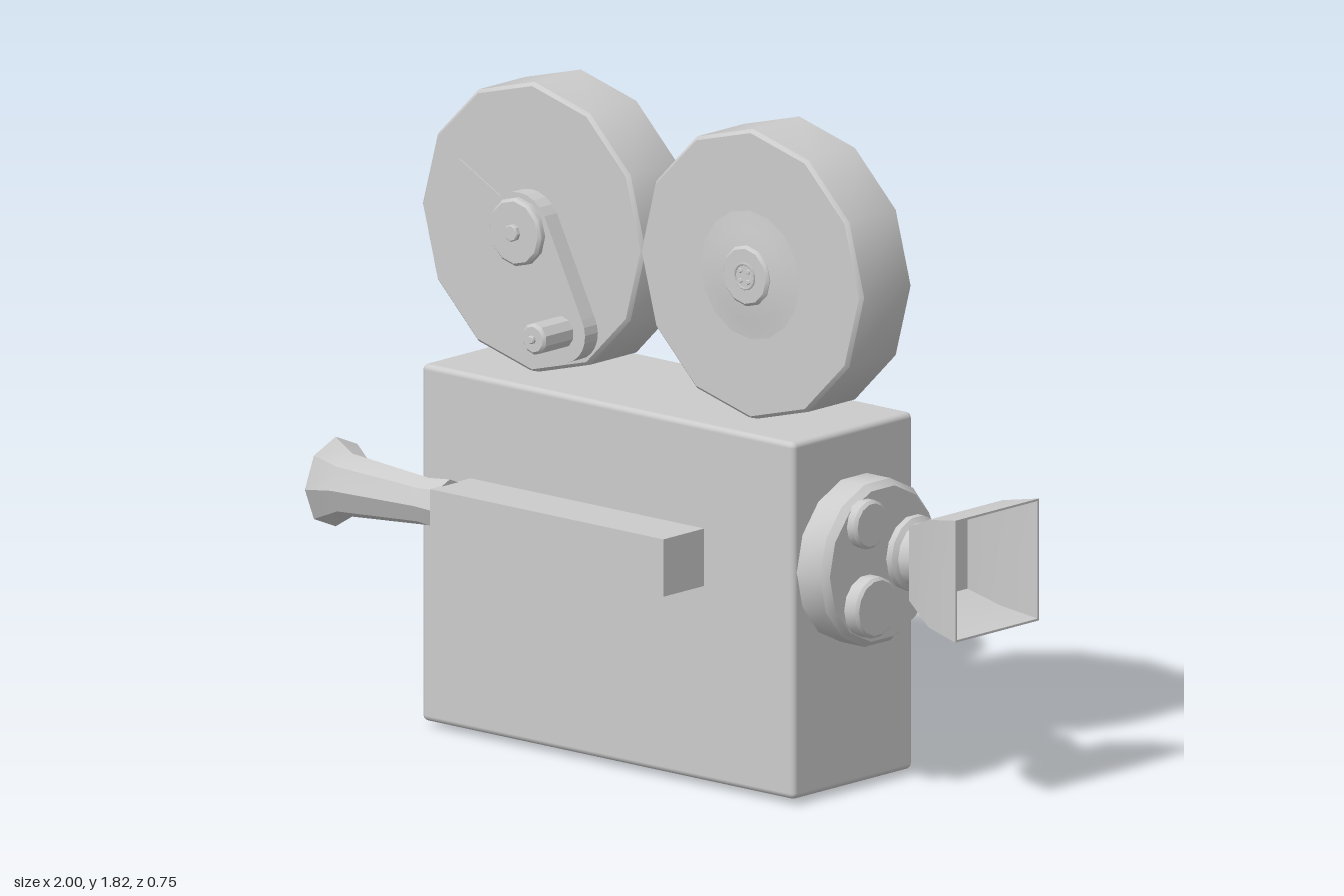
import * as THREE from 'three';
import { toCreasedNormals } from 'three/addons/utils/BufferGeometryUtils.js';
import { RoundedBoxGeometry } from 'three/addons/geometries/RoundedBoxGeometry.js';

const material = new THREE.MeshStandardMaterial({ color: 0xcccccc, side: THREE.DoubleSide });

export function createModel() {
  const model = new THREE.Group();

  const add = (name, geometry, x = 0, y = 0, z = 0, parent = model) => {
    const mesh = new THREE.Mesh(geometry, material);
    mesh.name = name;
    mesh.position.set(x, y, z);
    parent.add(mesh);
    return mesh;
  };
  // Turned profile of [radius, height] pairs, laid along the chosen axis
  const turned = (axis, sides, profile, phase = 0) => {
    const g = new THREE.LatheGeometry(profile.map(([r, h]) => new THREE.Vector2(r, h)), sides, phase);
    if (axis === 'x') g.rotateZ(-Math.PI / 2);
    if (axis === 'z') g.rotateX(Math.PI / 2);
    return toCreasedNormals(g, 0.6);
  };
  // Solid disc with a bevelled far rim
  const disc = (axis, sides, r, from, to, bevel = 0.008) =>
    turned(axis, sides, [[0, from], [r, from], [r, to - bevel], [r - bevel, to], [0, to]]);

  // Body
  add('body', new RoundedBoxGeometry(1.355, 0.995, 0.485, 2, 0.016), -0.0925, 0.5125, -0.0875);
  add('tripodMount', turned('y', 12, [[0, 0], [0.11, 0], [0.125, 0.02], [0, 0.02]]), -0.025, 0, -0.088);

  // Back door, leaning out towards its lower edge
  const door = new THREE.BoxGeometry(1.24, 0.9, 0.03);
  door.rotateX(0.042);
  add('backDoor', door, -0.09, 0.51, -0.337);

  // Rear window frame
  const frame = new THREE.Shape([[-0.2, -0.148], [0.2, -0.148], [0.2, 0.148], [-0.2, 0.148]]
    .map(p => new THREE.Vector2(...p)));
  frame.holes.push(new THREE.Path([[-0.182, -0.13], [-0.182, 0.13], [0.182, 0.13], [0.182, -0.13]]
    .map(p => new THREE.Vector2(...p))));
  const frameGeometry = new THREE.ExtrudeGeometry(frame, { depth: 0.02, bevelEnabled: false });
  frameGeometry.rotateY(-Math.PI / 2);
  add('rearWindowFrame', frameGeometry, -0.765, 0.712, -0.09);

  // Film reels
  const reel = [[0, -0.19], [0.395, -0.19], [0.405, -0.18], [0.405, 0.008], [0.395, 0.018], [0, 0.02]];
  for (const [name, x] of [['rearReel', -0.49], ['frontReel', 0.305]]) {
    add(name, turned('z', 12, reel), x, 1.41, 0);
  }

  // Front reel hub with small holes round its centre
  const hub = new THREE.Group();
  hub.name = 'frontReelHub';
  hub.position.set(0.305, 1.41, 0);
  model.add(hub);
  add('hubDish', turned('z', 16, [[0.19, 0.018], [0.13, 0.024], [0.085, 0.032], [0, 0.032]]), 0, 0, 0, hub);
  add('hubCap', disc('z', 12, 0.085, 0.02, 0.042), 0, 0, 0, hub);
  add('hubRing', new THREE.TorusGeometry(0.035, 0.004, 4, 16), 0, 0, 0.042, hub);
  for (let i = 0; i < 4; i++) {
    const a = (i + 0.5) * Math.PI / 2;
    add('hubPin', disc('z', 8, 0.007, 0.04, 0.046, 0.002), 0.02 * Math.cos(a), 0.02 * Math.sin(a), 0, hub);
  }

  // Crank on the rear reel
  const crank = new THREE.Group();
  crank.name = 'crank';
  crank.position.set(-0.49, 1.41, 0);
  model.add(crank);
  const end = new THREE.Vector2(0.155, -0.255);
  const a = end.angle();
  const arm = new THREE.Shape();
  arm.absarc(0, 0, 0.108, a + Math.PI / 2, a + Math.PI * 1.5, false);
  arm.absarc(end.x, end.y, 0.085, a - Math.PI / 2, a + Math.PI / 2, false);
  add('crankArm', new THREE.ExtrudeGeometry(arm, { depth: 0.052, bevelEnabled: false, curveSegments: 6 }),
    0, 0, 0.018, crank);
  add('crankHub', disc('z', 12, 0.095, 0.06, 0.092), 0, 0, 0, crank);
  add('crankBolt', disc('z', 8, 0.024, 0.09, 0.106, 0.003), 0, 0, 0, crank);
  add('crankHandle', disc('z', 10, 0.044, 0.06, 0.188), end.x, end.y, 0, crank);
  add('handleTip', disc('z', 8, 0.012, 0.18, 0.198, 0.003), end.x, end.y, 0, crank);
  const pointer = new THREE.Shape([[-0.26, 0.15], [-0.11, 0.01], [-0.09, 0.06]].map(p => new THREE.Vector2(...p)));
  add('crankPointer', new THREE.ExtrudeGeometry(pointer, { depth: 0.006, bevelEnabled: false }), 0, 0, 0.017, crank);

  // Viewfinder and its hollow eyepiece
  add('viewfinder', new THREE.BoxGeometry(0.85, 0.16, 0.17), -0.165, 0.64, 0.235);
  add('eyepiece', turned('x', 8, [
    [0, -0.955], [0.07, -0.955], [0.115, -0.998], [0.125, -1], [0.088, -0.94], [0.066, -0.66], [0.074, -0.585], [0, -0.585],
  ]), 0, 0.66, 0.245);

  // Lens turret
  add('turret', turned('x', 14, [[0, 0.57], [0.232, 0.57], [0.232, 0.67], [0.215, 0.69], [0, 0.69]]), 0, 0.648, -0.09);
  add('upperLens', disc('x', 14, 0.068, 0.68, 0.722), 0, 0.775, -0.012);
  add('lowerLens', disc('x', 14, 0.085, 0.68, 0.737), 0, 0.545, -0.018);
  add('mainLens', turned('x', 14, [
    [0, 0.68], [0.105, 0.68], [0.105, 0.71], [0.09, 0.72], [0.09, 0.75], [0.1, 0.78], [0, 0.78],
  ]), 0, 0.658, -0.208);

  // Square lens hood, open at the front
  const hood = [[0, 0.77], [0.102, 0.77], [0.15, 0.885], [0.17, 1], [0.164, 1], [0.143, 0.885], [0.102, 0.8], [0, 0.8]];
  add('lensHood', turned('x', 4, hood.map(([half, x]) => [half * Math.SQRT2, x]), Math.PI / 4), 0, 0.658, -0.208);

  return model;
}
